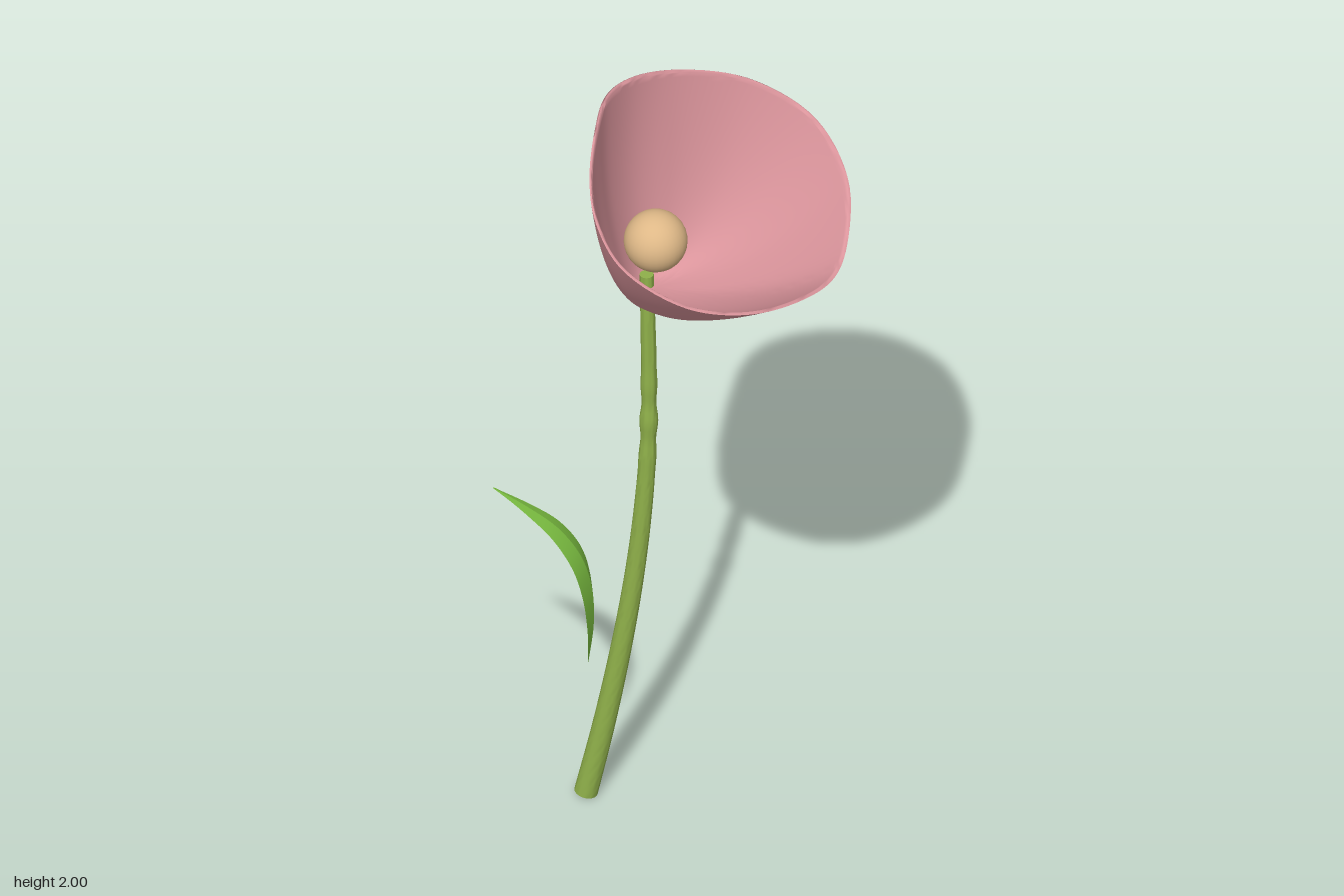
import * as THREE from 'three';
import { toCreasedNormals } from 'three/addons/utils/BufferGeometryUtils.js';

const material = (name, color, side = THREE.FrontSide) => {
  const m = new THREE.MeshStandardMaterial({ color, side });
  m.name = name;
  return m;
};

// Surface through a grid of points: rows along the part, columns around it
function loft(rows, crease) {
  const n = rows[0].length;
  const index = [];
  for (let i = 0; i < rows.length - 1; i++) {
    for (let j = 0; j < n - 1; j++) {
      const a = i * n + j, b = a + n;
      index.push(a, b, a + 1, b, b + 1, a + 1);
    }
  }
  const g = new THREE.BufferGeometry().setFromPoints(rows.flat());
  g.setIndex(index);
  return toCreasedNormals(g, crease);
}

const V = (x, y, z) => new THREE.Vector3(x, y, z);
const curve = (pts, closed = false) => new THREE.CatmullRomCurve3(pts.map((p) => V(...p)), closed);

// Blossom: a lopsided cup swept from its base to a wavy rim, with an inner wall
function cupGeometry() {
  const rim = curve([
    [0.397, 1.64, 0.03], [0.34, 1.655, 0.15], [0.23, 1.69, 0.27], [0.1, 1.725, 0.312],
    [-0.05, 1.785, 0.272], [-0.12, 1.85, 0.2], [-0.15, 1.9, 0.11], [-0.155, 1.965, 0.01],
    [-0.146, 1.997, -0.08], [-0.1, 1.985, -0.18], [0, 1.955, -0.265], [0.15, 1.91, -0.313],
    [0.3, 1.84, -0.285], [0.39, 1.75, -0.19], [0.41, 1.67, -0.06],
  ], true).getPoints(96);

  const wall = (t, thick) => rim.map((r) => {
    const dx = r.x + 0.03, dz = r.z + 0.12;
    const full = Math.hypot(dx, dz);
    const reach = full - thick;
    const y0 = 1.437 + thick * 1.1;
    const height = r.y - y0;
    // Steep sides are rounder, shallow sides straighter
    const power = 1.2 + 0.72 * (r.y - 1.437) / full;
    const f = Math.sin(t * Math.PI / 2);
    const v = Math.pow(f, power);
    const bulge = 1 + 0.12 * Math.max(0, -dx / full) * Math.sin(Math.PI * v);
    const d = f * reach * bulge / full;
    return V(-0.03 + dx * d, y0 + height * v, -0.12 + dz * d);
  });

  const rows = [];
  const steps = 28;
  for (let i = 0; i <= steps; i++) rows.push(wall(i / steps, 0));
  const lip = wall(1, 0.006);
  lip.forEach((p) => { p.y += 0.004; });
  rows.push(lip);
  for (let i = steps; i >= 0; i--) rows.push(wall(i / steps, 0.012));
  return loft(rows, 1.3);
}

// Stem: a curved tube that tapers and has a few knots
function stemGeometry() {
  const path = curve([
    [-0.195, 0.008, -0.12], [-0.155, 0.2, -0.12], [-0.119, 0.4, -0.12], [-0.089, 0.6, -0.12],
    [-0.067, 0.8, -0.12], [-0.054, 1, -0.12], [-0.052, 1.2, -0.12], [-0.057, 1.48, -0.12],
  ]);
  const ring = (t, scale) => {
    const c = path.getPointAt(t), tan = path.getTangentAt(t);
    const knot = Math.exp(-(((c.y - 1.08) / 0.1) ** 2)) * Math.cos((c.y - 1.07) * 58);
    const r = scale * (0.027 - 0.0075 * c.y + 0.0025 * knot);
    return Array.from({ length: 25 }, (_, j) => {
      const a = j / 24 * Math.PI * 2;
      return V(c.x + tan.y * r * Math.cos(a), c.y - tan.x * r * Math.cos(a), c.z + r * Math.sin(a));
    });
  };
  const rows = [ring(0, 0)];
  for (let i = 0; i <= 90; i++) rows.push(ring(i / 90, 1));
  rows.push(ring(1, 0));
  return loft(rows, 0.8);
}

// Leaf: a pointed blade bending outwards, folded along its midrib
function leafGeometry() {
  const path = curve([
    [-0.19, 0.37, -0.122], [-0.178, 0.48, -0.124], [-0.183, 0.58, -0.126], [-0.208, 0.66, -0.13],
    [-0.26, 0.725, -0.138], [-0.33, 0.77, -0.146], [-0.412, 0.81, -0.155],
  ]);
  const rows = [];
  for (let i = 0; i <= 32; i++) {
    const t = i / 32;
    const c = path.getPointAt(t), tan = path.getTangentAt(t);
    const half = 0.002 + 0.049 * Math.pow(Math.sin(Math.PI * Math.pow(t, 0.85)), 1.15);
    rows.push([-1, -0.5, 0, 0.5, 1].map((s) => {
      const fold = 0.24 * half * Math.abs(s);
      return V(c.x - tan.y * fold, c.y + tan.x * fold, c.z + half * s);
    }));
  }
  return loft(rows, 0.35);
}

export function createModel() {
  const group = new THREE.Group();
  group.name = 'flower';
  const add = (name, geometry, mat) => {
    const mesh = new THREE.Mesh(geometry, mat);
    mesh.name = name;
    group.add(mesh);
    return mesh;
  };

  add('blossomCup', cupGeometry(), material('petal pink', 0xdb959c));
  add('stem', stemGeometry(), material('stem green', 0x8fb04a));
  add('leaf', leafGeometry(), material('leaf green', 0x78b93f, THREE.DoubleSide));

  // Round heart of the blossom
  add('pistil', new THREE.SphereGeometry(0.072, 32, 20), material('pollen tan', 0xdeb887))
    .position.set(-0.035, 1.585, -0.11);

  return group;
}
